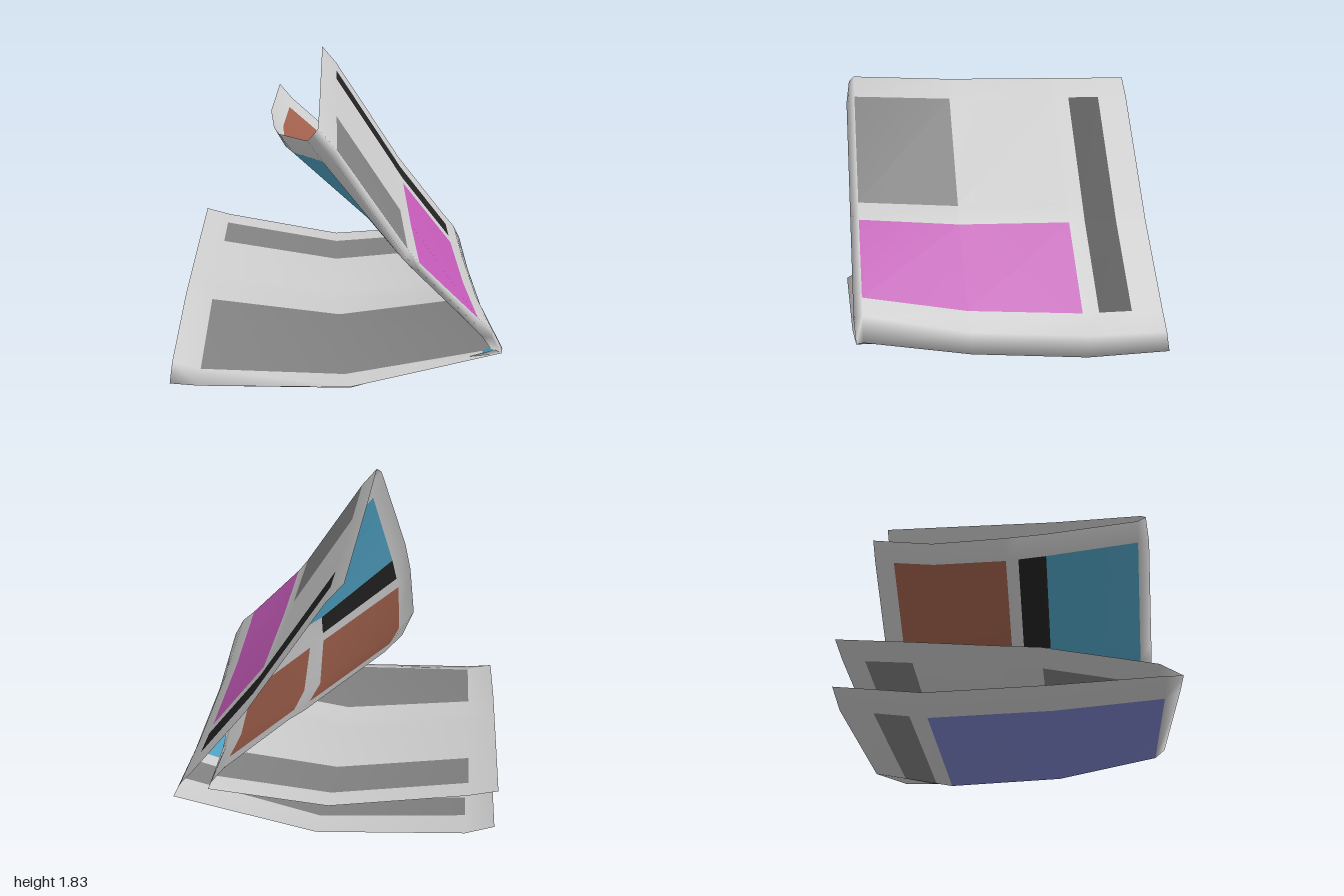
import * as THREE from 'three';

// Columns run along the sheet: lower leaf, round the side fold, then up the raised leaf.
const outerX = [-1, -0.83, 0.08, 0.97, 0.92, 0.83, 0.47, 0.4, 0, -0.1];
// Heights of the outer leaves on a few lines of constant z
const outerKeys = [
  { z: -0.92, y: [0.25, 0.18, 0.09, 0.28, 0.38, 0.49, 0.96, 1.07, 1.69, 1.81] },
  { z: -0.43, y: [0.2, 0.12, 0, 0.27, 0.38, 0.49, 0.96, 1.07, 1.69, 1.81] },
  { z: 0.25, y: [0.22, 0.14, 0.03, 0.33, 0.44, 0.54, 0.97, 1.07, 1.69, 1.81] },
  { z: 0.85, y: [0.25, 0.19, 0.15, 0.44, 0.57, 0.65, 1.02, 1.11, 1.71, 1.83] },
].map(({ z, y }) => ({ z, p: y.map((v, i) => [outerX[i] + (z > 0.8 && i === 3 ? 0.02 : 0), v]) }));

// Front fold joining outer and inner leaves: x, y, z
const lip = [
  [-1, 0.25, 0.94], [-0.83, 0.23, 0.935], [0.08, 0.2, 0.91], [0.98, 0.43, 0.89], [0.91, 0.55, 0.9],
  [0.82, 0.63, 0.9], [0.46, 1.0, 0.9], [0.39, 1.08, 0.9], [-0.02, 1.67, 0.9], [-0.13, 1.8, 0.88],
];

// Inner leaves: x, y on a few lines of constant z
const innerKeys = [
  { z: 0.82, p: [[-1, 0.32], [-0.83, 0.27], [0.05, 0.23], [0.93, 0.41], [0.87, 0.5],
    [0.77, 0.61], [0.42, 0.98], [0.36, 1.05], [-0.08, 1.63], [-0.16, 1.75]] },
  { z: 0.2, p: [[-1, 0.44], [-0.83, 0.39], [0.02, 0.27], [0.84, 0.39], [0.8, 0.44],
    [0.69, 0.55], [0.28, 0.93], [0.2, 0.99], [-0.27, 1.44], [-0.35, 1.56]] },
  { z: -0.06, p: [[-1, 0.46], [-0.83, 0.41], [0, 0.28], [0.8, 0.385], [0.76, 0.42],
    [0.65, 0.53], [0.24, 0.9], [0.15, 0.96], [-0.33, 1.38], [-0.4, 1.51]] },
  { z: -0.53, p: [[-1, 0.5], [-0.83, 0.45], [0, 0.3], [0.75, 0.375], [0.72, 0.41],
    [0.62, 0.5], [0.2, 0.87], [0.1, 0.93], [-0.37, 1.35], [-0.45, 1.46]] },
  { z: -0.93, p: [[-1, 0.53], [-0.83, 0.48], [0, 0.315], [0.74, 0.37], [0.72, 0.42],
    [0.63, 0.54], [0.22, 0.93], [0.13, 1.0], [-0.32, 1.42], [-0.41, 1.53]] },
];

// Cross-section at any z, interpolated between the key lines
function section(keys, z) {
  let i = 0;
  while (i < keys.length - 2 && (z - keys[i + 1].z) * (z - keys[i].z) > 1e-9) i++;
  const a = keys[i], b = keys[i + 1], t = (z - a.z) / (b.z - a.z);
  return a.p.map(([x, y], c) => [x + (b.p[c][0] - x) * t, y + (b.p[c][1] - y) * t, z]);
}

// Coloured blocks: row range and column range of the sheet
const panels = [
  { name: 'raisedLeafStrip', color: 0x222222, r: [1, 2], c: [5, 8] },
  { name: 'raisedLeafPicture', color: 0xc45ab8, r: [3, 5], c: [5, 6] },
  { name: 'raisedLeafText', color: 0x808080, r: [4, 5], c: [7, 8] },
  { name: 'lowerLeafStrip', color: 0x808080, r: [1, 2], c: [1, 3] },
  { name: 'lowerLeafBluePicture', color: 0x4f9fc0, r: [3, 5], c: [2, 3] },
  { name: 'lowerLeafVioletPicture', color: 0x7c82c8, r: [3, 5], c: [1, 2] },
  { name: 'innerLowerText', color: 0x808080, r: [7, 8], c: [1, 3] },
  { name: 'innerLowerStrip', color: 0x808080, r: [11, 12], c: [1, 3] },
  { name: 'innerRaisedBluePicture', color: 0x4f9fc0, r: [7, 8], c: [5, 8] },
  { name: 'innerRaisedStrip', color: 0x222222, r: [8, 9], c: [7, 8] },
  { name: 'innerRaisedBrownPictureLow', color: 0xa0604c, r: [10, 12], c: [5, 6] },
  { name: 'innerRaisedBrownPictureHigh', color: 0xa0604c, r: [10, 12], c: [7, 8] },
];

export function createModel() {
  const group = new THREE.Group();
  group.name = 'foldedNewspaper';

  // One continuous sheet: outer leaves from the back, round the front fold, inner leaves to the back
  const rows = [
    ...[-0.92, -0.73, -0.53, -0.43, 0.25, 0.85].map((z) => section(outerKeys, z)),
    lip,
    ...[0.82, 0.2, 0.02, -0.06, -0.53, -0.8, -0.93].map((z) => section(innerKeys, z)),
  ];
  const cols = outerX.length;
  const cells = new Map([['paper', []]]);
  panels.forEach((p) => cells.set(p.name, []));
  const all = [];
  for (let r = 0; r < rows.length - 1; r++) {
    for (let c = 0; c < cols - 1; c++) {
      const a = r * cols + c, b = a + 1, d = a + cols, e = d + 1;
      const quad = [a, b, d, b, e, d];
      const panel = panels.find((p) => r >= p.r[0] && r < p.r[1] && c >= p.c[0] && c < p.c[1]);
      cells.get(panel ? panel.name : 'paper').push(...quad);
      all.push(...quad);
    }
  }

  // Smooth normals are computed over the whole sheet, then shared by every block
  const sheet = new THREE.BufferGeometry();
  sheet.setAttribute('position', new THREE.Float32BufferAttribute(rows.flat(2), 3));
  sheet.setIndex(all);
  sheet.computeVertexNormals();

  for (const [name, index] of cells) {
    const geometry = new THREE.BufferGeometry();
    geometry.setAttribute('position', sheet.getAttribute('position'));
    geometry.setAttribute('normal', sheet.getAttribute('normal'));
    geometry.setIndex(index);
    const panel = panels.find((p) => p.name === name);
    const material = new THREE.MeshStandardMaterial({
      color: panel ? panel.color : 0xcccccc,
      side: THREE.DoubleSide,
    });
    const mesh = new THREE.Mesh(geometry, material);
    mesh.name = name;
    group.add(mesh);
  }
  return group;
}
